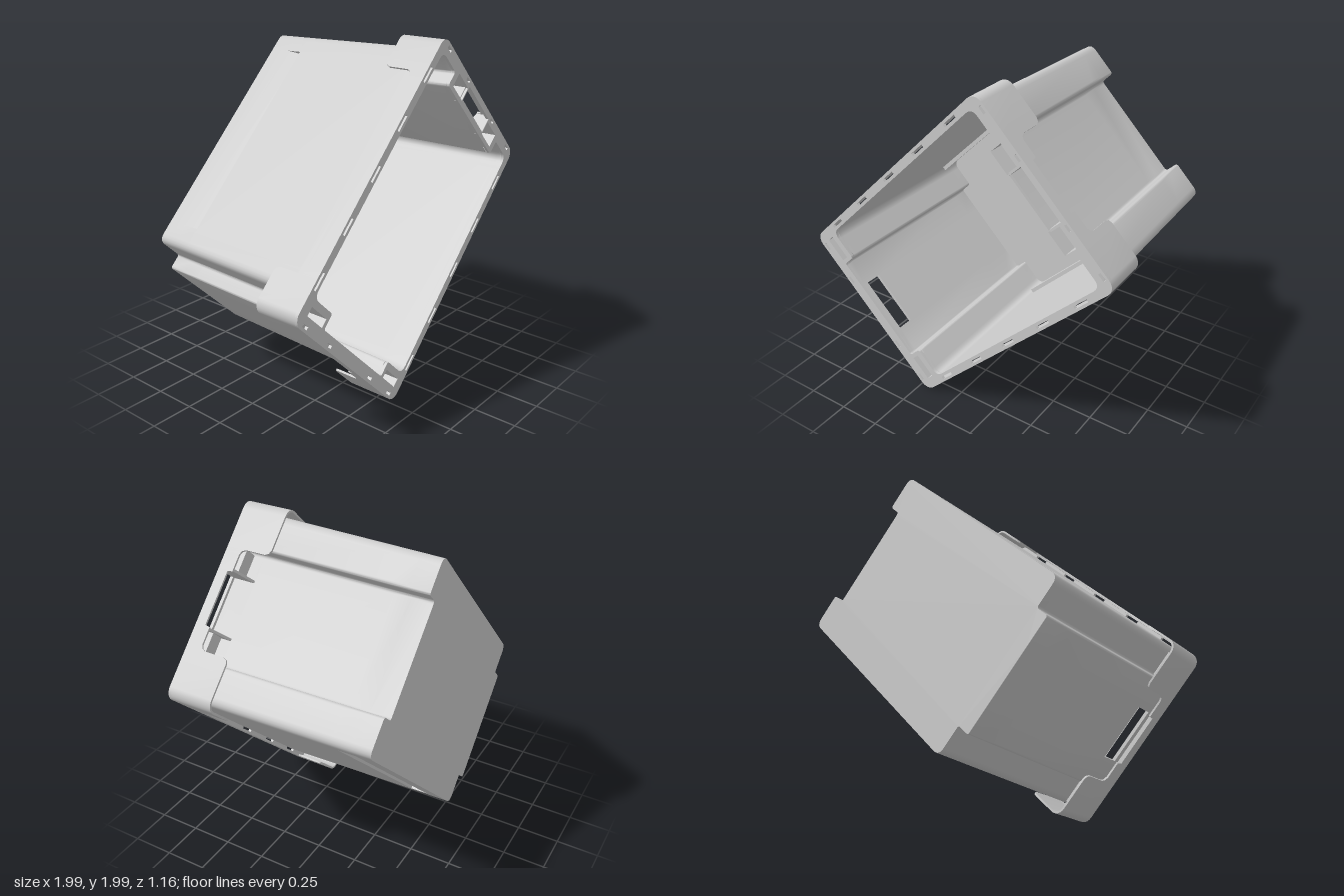
import * as THREE from 'three';
import { toCreasedNormals } from 'three/addons/utils/BufferGeometryUtils.js';

const material = new THREE.MeshStandardMaterial({ color: 0xcccccc, side: THREE.DoubleSide });
const A = 0.863, B = 0.58, R = 0.06;   // rim half length, half width, corner radius
const FRONT = 0.58, BACK = -0.58, WALL = 0.02;

function mesh(name, geometry) {
  const m = new THREE.Mesh(toCreasedNormals(geometry, 0.6), material);
  m.name = name;
  return m;
}

// Skin between closed loops of 3D points; skip(level, segment) leaves openings
function loft(loops, skip = () => false) {
  const pos = [];
  for (let k = 0; k < loops.length - 1; k++) {
    const a = loops[k], b = loops[k + 1], n = a.length;
    for (let i = 0; i < n; i++) {
      if (skip(k, i)) continue;
      const j = (i + 1) % n;
      for (const p of [a[i], b[i], b[j], a[i], b[j], a[j]]) pos.push(...p);
    }
  }
  const g = new THREE.BufferGeometry();
  g.setAttribute('position', new THREE.Float32BufferAttribute(pos, 3));
  return g;
}

// Round each corner [u, v, radius] of a closed polygon
function roundCorners(pts) {
  const out = [];
  pts.forEach(([u, v, r], i) => {
    const c = new THREE.Vector2(u, v);
    if (!r) { out.push(c); return; }
    const toward = (q) => new THREE.Vector2(q[0], q[1]).sub(c).setLength(r).add(c);
    const n = pts.length;
    const start = toward(pts[(i + n - 1) % n]), end = toward(pts[(i + 1) % n]);
    out.push(...new THREE.QuadraticBezierCurve(start, c, end).getPoints(5));
  });
  return out;
}

// Body cross-section at depth z: t is the inward offset, d the depth of the side groove
function bodyOutline(z, t, d = 0) {
  // u, v, corner radius, offset direction in u and v
  const half = [
    [-0.81, 0.17, 0, 1, 0], [-0.81, 0.36, 0.015, 1, -1], [-0.72, 0.36, 0.015, 1, -1],
    [-0.72, 0.55, 0.05, 1, -1], [-0.58, 0.55, 0, -1, -1], [-0.58, 0.55 - d, 0, -1, -1],
    [0.68, 0.55 - d, 0, 1, -1], [0.68, 0.55, 0, 1, -1], [0.81, 0.55, 0.05, -1, -1],
    [0.81, 0.33, 0.02, -1, 1], [0.72, 0.33, 0.02, -1, 1],
  ].map(([u, v, r, su, sv]) => [u + su * t, v + sv * t, r]);
  const mirrored = half.map(([u, v, r]) => [u, -v, r]);
  const draft = 1 - 0.035 * (FRONT - z) / (FRONT - BACK);
  return roundCorners([...mirrored, ...half.reverse()]).map((p) => p.multiplyScalar(draft));
}

// Rim perimeter as [u, v, lower edge z], inset by g
function rimOutline(g) {
  const long = [[0.58, 0.49], [0.61, 0.48], [0.62, 0.46], [0.62, 0.34], [0.63, 0.32], [0.65, 0.31]];
  const short = [[0.155, 0.52], [0.16, 0.49], [0.26, 0.49], [0.28, 0.48], [0.29, 0.46],
    [0.29, 0.34], [0.30, 0.32], [0.32, 0.31]];
  const out = [];
  for (let i = 0; i < 4; i++) {
    const a = i * Math.PI / 2, c = Math.cos(a), s = Math.sin(a);
    const [dist, other, prof] = i % 2 ? [B, A, long] : [A, B, short];
    const place = (n, t, z) => out.push([n * c - t * s, n * s + t * c, z]);
    for (const [t, z] of [...prof].reverse()) place(dist - g, -t, z);
    for (const [t, z] of prof) place(dist - g, t, z);
    for (let k = 0; k <= 6; k++) {
      const q = k * Math.PI / 12;
      place(dist - R + (R - g) * Math.cos(q), other - R + (R - g) * Math.sin(q), 0.31);
    }
  }
  return out;
}

const rect = (u0, u1, v0, v1) => [[u0, v0], [u1, v0], [u1, v1], [u0, v1]];
const centredRect = (u, v, w, h) => rect(u - w / 2, u + w / 2, v - h / 2, v + h / 2);

function buildBody() {
  const group = new THREE.Group();
  group.name = 'binBody';
  const levels = [[0.56, 0], [0.53, 0], [0.43, 0], [-0.36, 0], [-0.36, 0.025], [-0.46, 0]];
  const loop = (z, t, d) => bodyOutline(z, t, d).map((p) => [p.x, p.y, z]);
  const outer = [...levels, [BACK, 0]].map(([z, d]) => loop(z, 0, d));
  const inner = [...levels, [BACK + WALL, 0]].map(([z, d]) => loop(z, WALL, d)).reverse();
  const last = outer[0].length - 1;
  // the last segment is the end wall, left open for the hand hole
  group.add(mesh('outerWalls', loft(outer, (k, i) => k === 1 && i === last)));
  group.add(mesh('innerWalls', loft(inner, (k, i) => k === inner.length - 3 && i === last)));

  const cap = (name, z, t) => {
    const m = mesh(name, new THREE.ShapeGeometry(new THREE.Shape(bodyOutline(z, t))));
    m.position.z = z;
    group.add(m);
  };
  cap('floorInside', BACK + WALL, WALL);
  cap('floorOutside', BACK, 0);

  // edges of the hand hole
  const frame = (u) => [[u, -0.17, 0.43], [u, 0.17, 0.43], [u, 0.17, 0.53], [u, -0.17, 0.53]];
  group.add(mesh('handHoleEdge', loft([frame(-0.81), frame(-0.79)])));
  return group;
}

function buildRim() {
  const group = new THREE.Group();
  group.name = 'rim';

  // drop skirt, deeper at the corners
  const outer = rimOutline(0), inner = rimOutline(0.012);
  const atFront = (pts) => pts.map(([u, v]) => [u, v, FRONT]);
  group.add(mesh('skirt', loft([atFront(outer), outer, inner, atFront(inner)])));

  // flat rim plate with all its openings
  const holes = [rect(0.735, 0.827, -0.163, 0.163)];
  const pockets = [];
  for (const s of [-1, 1]) {
    for (let i = -2; i <= 2; i++) holes.push(centredRect(i * 0.31, s * 0.556, 0.1, 0.016));
    holes.push(centredRect(-0.837, s * 0.24, 0.018, 0.045));
    holes.push(centredRect(0.842, s * 0.205, 0.016, 0.04));
    for (const e of [-1, 1]) holes.push(centredRect(e * 0.838, s * 0.49, 0.018, 0.045));
    pockets.push([centredRect(0.768, s * 0.24, 0.085, 0.14), 0.49]);
    pockets.push([centredRect(-0.765, s * 0.44, 0.05, 0.15), 0.46]);
  }
  const toPath = (pts) => new THREE.Path(pts.map(([u, v]) => new THREE.Vector2(u, v)));
  const plate = new THREE.Shape(outer.map(([u, v]) => new THREE.Vector2(u, v)));
  plate.holes.push(new THREE.Path(bodyOutline(FRONT, WALL)));
  for (const h of [...holes, ...pockets.map((p) => p[0])]) plate.holes.push(toPath(h));
  const top = mesh('rimPlate', new THREE.ExtrudeGeometry(plate, { depth: 0.018, bevelEnabled: false }));
  top.position.z = FRONT - 0.018;
  group.add(top);

  // latch pockets sunk into the plate
  for (const [pts, z] of pockets) {
    const ring = (h) => pts.map(([u, v]) => [u, v, h]);
    const mid = pts.map(() => [(pts[0][0] + pts[2][0]) / 2, (pts[0][1] + pts[2][1]) / 2, z]);
    group.add(mesh('latchPocket', loft([ring(z), ring(FRONT - 0.01)])));
    group.add(mesh('latchPocketFloor', loft([mid, ring(z)])));
  }

  // triangular gussets under the handle slot
  const tri = new THREE.Shape([[0.71, 0.43], [0.852, 0.49], [0.852, 0.565], [0.71, 0.565]]
    .map(([u, z]) => new THREE.Vector2(u, z)));
  for (const s of [-1, 1]) {
    const g = new THREE.ExtrudeGeometry(tri, { depth: 0.014, bevelEnabled: false });
    g.translate(0, 0, -0.007).rotateX(Math.PI / 2);
    const m = mesh('handleGusset', g);
    m.position.y = s * 0.17;
    group.add(m);
  }
  return group;
}

export function createModel() {
  const model = new THREE.Group();
  model.name = 'storageBin';
  // the bin stands on one corner, its opening facing the front
  const bin = new THREE.Group();
  bin.name = 'tiltedBin';
  bin.add(buildBody(), buildRim());
  bin.rotation.z = Math.PI / 4;
  bin.position.y = 1;
  model.add(bin);
  return model;
}
